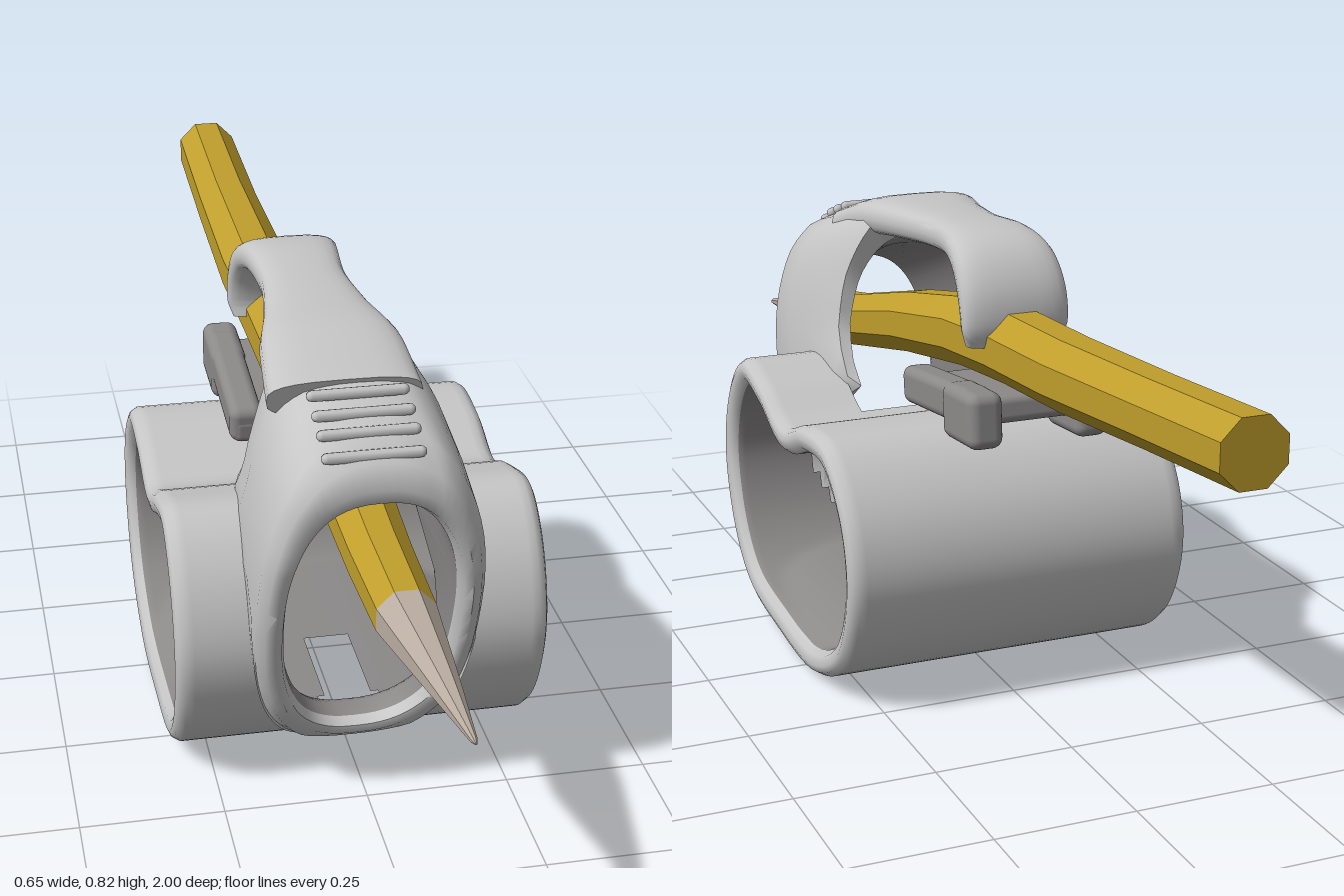
import * as THREE from 'three';
import { toCreasedNormals } from 'three/addons/utils/BufferGeometryUtils.js';
import { RoundedBoxGeometry } from 'three/addons/geometries/RoundedBoxGeometry.js';

const V = (x, y, z) => new THREE.Vector3(x, y, z);

// Joins rings of points into a skin; pick(i, centre) returns a material index, or -1 for a hole.
function loft(rings, closed, pick = () => 0, crease = 0.7) {
  const n = rings[0].length, pts = rings.flat(), lists = [[], []];
  let volume = 0;
  const rows = closed ? rings.length : rings.length - 1;
  for (let i = 0; i < rows; i++) {
    for (let j = 0; j < n; j++) {
      const i2 = (i + 1) % rings.length, j2 = (j + 1) % n;
      const [a, b, c, d] = [i * n + j, i * n + j2, i2 * n + j2, i2 * n + j];
      const mid = pts[a].clone().add(pts[b]).add(pts[c]).add(pts[d]).multiplyScalar(0.25);
      const m = pick(i, mid);
      for (const t of [[a, b, c], [a, c, d]]) {
        volume += pts[t[0]].dot(pts[t[1]].clone().cross(pts[t[2]]));
        if (m >= 0) lists[m].push(t);
      }
    }
  }
  const g = new THREE.BufferGeometry().setFromPoints(pts);
  const order = (t) => (volume < 0 ? [t[0], t[2], t[1]] : t);
  g.setIndex([...lists[0], ...lists[1]].flatMap(order));
  if (lists[1].length) {
    g.addGroup(0, lists[0].length * 3, 0);
    g.addGroup(lists[0].length * 3, lists[1].length * 3, 1);
  }
  return toCreasedNormals(g, crease);
}

// Closes both ends of an open loft by adding a ring shrunk to its centre.
function capped(rings) {
  const shrink = (r) => {
    const c = r.reduce((s, p) => s.add(p), V(0, 0, 0)).divideScalar(r.length);
    return r.map(() => c.clone());
  };
  return [shrink(rings[0]), ...rings, shrink(rings[rings.length - 1])];
}

// Linear interpolation through [key, value] pairs.
function table(rows) {
  return (k) => {
    if (k <= rows[0][0]) return rows[0][1];
    for (let i = 1; i < rows.length; i++) {
      const [a, va] = rows[i - 1], [b, vb] = rows[i];
      if (k <= b) return va + ((vb - va) * (k - a)) / (b - a);
    }
    return rows[rows.length - 1][1];
  };
}

const spow = (v, p) => Math.sign(v) * Math.abs(v) ** p;
const MID = 0.38;

export function createModel() {
  const group = new THREE.Group();
  const mat = (name, color) => new THREE.MeshStandardMaterial({ name, color });
  const shell = mat('light grey', 0xc6c6c6);
  const inner = mat('dark grey', 0x8c8989);
  const yellow = mat('pencil yellow', 0xbf9e2c);
  const wood = mat('sharpened wood', 0xb9aca0);
  const add = (name, geo, material) => {
    const m = new THREE.Mesh(geo, material);
    m.name = name;
    group.add(m);
    return m;
  };

  // Finger sleeve: kidney-shaped band in the zy plane, swept along x
  const profile = new THREE.CatmullRomCurve3([
    [0.34, 0.495], [0.43, 0.42], [0.475, 0.28], [0.43, 0.13], [0.33, 0.035], [0.15, 0.003],
    [-0.07, 0.003], [-0.23, 0.09], [-0.292, 0.24], [-0.26, 0.37], [-0.155, 0.465], [-0.02, 0.465],
    [0.1, 0.43], [0.22, 0.475],
  ].map(([z, y]) => V(0, y, z)), true);
  const N = 110;
  const base = [];
  for (let j = 0; j < N; j++) {
    const p = profile.getPointAt(j / N), t = profile.getTangentAt(j / N);
    base.push({ p, n: V(0, t.z, -t.y) });
  }
  const toward = base[0].n.dot(V(0, 0.27, 0.1).sub(base[0].p)) > 0 ? 1 : -1;
  const sleeveRing = (x, inset, floor) => base.map(({ p, n }) => {
    const q = p.clone().addScaledVector(n, inset * toward);
    q.x = x;
    if (floor) q.y = Math.max(q.y, 0.04 + 0.055 * (1 - (x / 0.31) ** 4));
    return q;
  });
  const sleeve = [];
  const steps = 44;
  for (let i = 0; i <= steps; i++) sleeve.push(sleeveRing(-0.305 + (0.61 * i) / steps, 0, false));
  sleeve.push(sleeveRing(0.318, 0.008, false), sleeveRing(0.323, 0.02, false), sleeveRing(0.318, 0.038, false));
  const firstInner = sleeve.length;
  for (let i = 0; i <= steps; i++) sleeve.push(sleeveRing(0.305 - (0.61 * i) / steps, 0.048, true));
  const lastInner = sleeve.length - 1;
  sleeve.push(sleeveRing(-0.318, 0.038, false), sleeveRing(-0.323, 0.02, false), sleeveRing(-0.318, 0.008, false));
  const inOpening = (p) => {
    const v = p.y > MID ? (p.y - MID) / 0.26 : (MID - p.y) / 0.29;
    return p.z > 0.13 && Math.abs(p.x / 0.16) ** 2.5 + v ** 2.5 < 1;
  };
  add('fingerSleeve', loft(sleeve, true, (i, p) => {
    if (inOpening(p)) return -1;
    return i >= firstInner && i < lastInner ? 1 : 0;
  }), [shell, inner]);

  // Front collar: oval ring around the opening, with sloping front and back faces
  const front = table([[0.03, 0.38], [0.09, 0.445], [0.18, 0.5], [0.3, 0.545], [0.42, 0.585],
    [0.52, 0.61], [0.64, 0.622], [0.69, 0.61], [0.73, 0.56], [0.78, 0.42], [0.8, 0.36]]);
  const back = table([[0.03, 0.3], [0.1, 0.36], [0.2, 0.425], [0.3, 0.435], [0.38, 0.38],
    [0.43, 0.22], [0.46, 0.16], [0.5, 0.22], [0.56, 0.262], [0.65, 0.275], [0.8, 0.25]]);
  const oval = (w, y0, y1, zAt) => Array.from({ length: 64 }, (_, k) => {
    const a = (k / 64) * Math.PI * 2, s = spow(Math.sin(a), 0.85);
    const y = MID + s * (s > 0 ? y1 - MID : MID - y0);
    return V(w * spow(Math.cos(a), 0.8) - 0.008, y, zAt(y));
  });
  const blend = (k) => (y) => back(y) + (front(y) - back(y)) * k;
  add('frontCollar', loft([
    oval(0.143, 0.112, 0.615, (y) => front(y) - 0.035),
    oval(0.15, 0.105, 0.625, (y) => front(y) - 0.008),
    oval(0.163, 0.09, 0.65, front),
    oval(0.178, 0.06, 0.69, (y) => front(y) - 0.008),
    oval(0.19, 0.04, 0.725, (y) => front(y) - 0.035),
    oval(0.193, 0.035, 0.755, blend(0.66)),
    oval(0.19, 0.035, 0.79, blend(0.35)),
    oval(0.178, 0.04, 0.8, blend(0.1)),
    oval(0.165, 0.05, 0.79, back),
    oval(0.145, 0.11, 0.73, back),
    oval(0.14, 0.115, 0.7, blend(0.15)),
  ], true, (i) => (i >= 9 ? 1 : 0), 1), [shell, inner]);

  // Grip ridges across the sloping top of the collar
  [[0.697, 0.585], [0.718, 0.545], [0.733, 0.505], [0.748, 0.46]].forEach(([y, z]) => {
    const ridge = add('gripRidge', new THREE.CapsuleGeometry(0.01, 0.15, 3, 8), shell);
    ridge.rotation.z = Math.PI / 2;
    ridge.position.set(-0.015, y, z);
  });

  // Hook arching back over the pencil: [z, y, half width, half thickness]
  const hookRows = [[0.42, 0.725, 0.13, 0.035], [0.3, 0.76, 0.12, 0.038], [0.18, 0.77, 0.092, 0.034],
    [0.05, 0.778, 0.076, 0.031], [-0.06, 0.782, 0.085, 0.031], [-0.125, 0.762, 0.095, 0.031],
    [-0.165, 0.715, 0.1, 0.028], [-0.178, 0.66, 0.1, 0.023], [-0.17, 0.628, 0.09, 0.018]];
  const hookPath = new THREE.CatmullRomCurve3(hookRows.map(([z, y]) => V(-0.028, y, z)));
  const hookSize = new THREE.CatmullRomCurve3(hookRows.map((r) => V(r[2], r[3], 0)));
  const hook = [];
  for (let i = 0; i <= 36; i++) {
    const p = hookPath.getPoint(i / 36), t = hookPath.getTangent(i / 36), s = hookSize.getPoint(i / 36);
    hook.push(Array.from({ length: 24 }, (_, k) => {
      const a = (k / 24) * Math.PI * 2, u = spow(Math.sin(a), 0.65) * s.y;
      return V(p.x + spow(Math.cos(a), 0.65) * s.x, p.y - t.z * u, p.z + t.y * u);
    }));
  }
  add('hook', loft(capped(hook), false, undefined, 0.9), shell);

  // Pencil: slightly bowed eight-sided barrel, [x, y, z, radius]
  const bar = (rows) => capped(rows.map(([x, y, z, r]) => Array.from({ length: 8 }, (_, k) => {
    const a = ((k + 0.5) / 8) * Math.PI * 2;
    return V(x + Math.cos(a) * r, y + Math.sin(a) * r, z);
  })));
  add('pencilBarrel', loft(bar([[0.014, 0.467, 0.7, 0.052], [0.005, 0.49, 0.55, 0.056],
    [-0.012, 0.56, 0.25, 0.064], [-0.025, 0.605, 0, 0.07], [-0.032, 0.62, -0.18, 0.07],
    [-0.04, 0.627, -0.4, 0.068], [-0.045, 0.65, -0.7, 0.063], [-0.045, 0.676, -1, 0.061]]), false, undefined, 0.5), yellow);
  add('pencilPoint', loft(bar([[0.014, 0.467, 0.7, 0.052], [0.034, 0.443, 0.86, 0.027],
    [0.049, 0.424, 0.99, 0.006], [0.05, 0.423, 1, 0.002]]), false, undefined, 0.5), wood);

  // Cradle under the pencil: tilted slab, side arms and a stem on the sleeve
  const block = (name, size, pos, tilt, material) => {
    const m = add(name, new RoundedBoxGeometry(...size, 3, Math.min(...size) * 0.3), material);
    m.position.set(...pos);
    m.rotation.x = tilt;
  };
  block('cradleSlab', [0.25, 0.05, 0.3], [-0.03, 0.51, -0.1], 0.12, inner);
  for (const side of [-1, 1]) {
    block('cradleArm', [0.06, 0.07, 0.3], [-0.03 + side * 0.1, 0.52, -0.1], 0.12, inner);
    block('cradleEnd', [0.065, 0.1, 0.14], [-0.03 + side * 0.1, 0.518, -0.222], 0.08, inner);
  }
  block('cradleStem', [0.15, 0.07, 0.12], [-0.03, 0.475, -0.06], 0, shell);

  return group;
}
